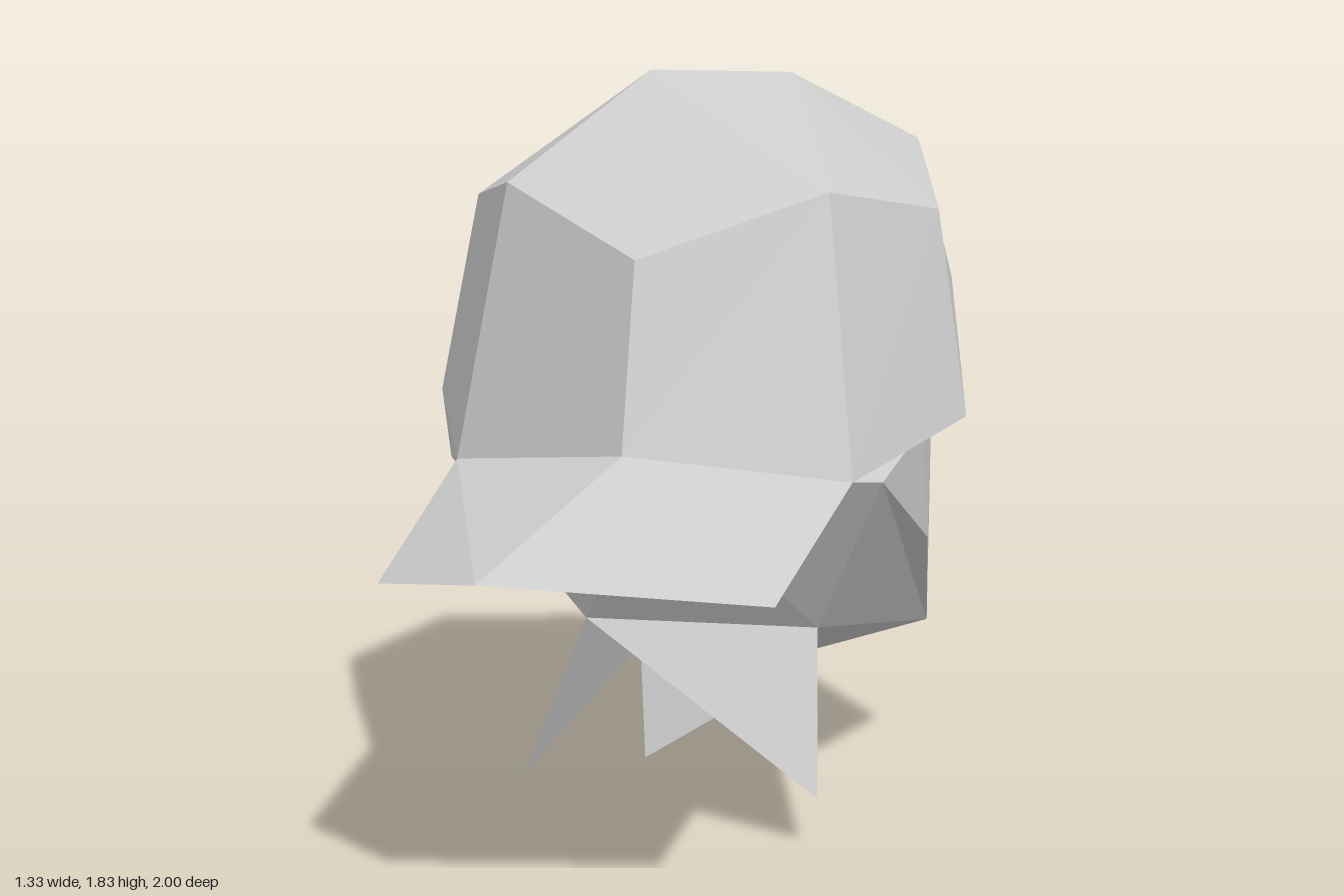
import * as THREE from 'three';

const grey = new THREE.MeshStandardMaterial({ color: 0xcccccc, flatShading: true, side: THREE.DoubleSide });
grey.name = 'plain grey';

// Mesh of flat facets; every polygon is fanned and turned to face away from the given centre
function facets(name, polygons, centre) {
  const c = new THREE.Vector3(...centre), positions = [];
  for (const polygon of polygons) {
    const p = polygon.map(v => new THREE.Vector3(...v));
    for (let i = 1; i < p.length - 1; i++) {
      const t = new THREE.Triangle(p[0], p[i], p[i + 1]);
      const n = t.getNormal(new THREE.Vector3());
      const out = t.getMidpoint(new THREE.Vector3()).sub(c);
      const order = n.dot(out) >= 0 ? [p[0], p[i], p[i + 1]] : [p[0], p[i + 1], p[i]];
      for (const v of order) positions.push(v.x, v.y, v.z);
    }
  }
  const geometry = new THREE.BufferGeometry();
  geometry.setAttribute('position', new THREE.Float32BufferAttribute(positions, 3));
  geometry.computeVertexNormals();
  const mesh = new THREE.Mesh(geometry, grey);
  mesh.name = name;
  return mesh;
}

// Closed ring of eight points from a half ring running front to back on the +x side
const mirror = ([x, y, z]) => [-x, y, z];
const ring = half => [...half, ...half.slice(1, -1).reverse().map(mirror)];

// Strip of quads between two rings
const band = (a, b) => a.map((v, i) => {
  const j = (i + 1) % a.length;
  return [v, b[i], b[j], a[j]];
});

export function createModel() {
  const model = new THREE.Group();
  model.name = 'cappedHead';

  // Cap: rim, upper ring and two crown points
  const rim = ring([[0, 1.01, 0.46], [0.48, 0.935, 0.24], [0.665, 1.03, -0.14], [0.49, 1.27, -0.81], [0, 1.30, -1]]);
  const upper = ring([[0, 1.44, 0.36], [0.39, 1.58, 0.12], [0.58, 1.515, -0.19], [0.43, 1.64, -0.65], [0, 1.685, -0.77]]);
  const crownR = [-0.15, 1.825, -0.25], crownL = [0.16, 1.815, -0.41];
  const [u0, u1, u2, u3, u4, u5, u6, u7] = upper;
  const crown = [
    [crownR, u7, u0], [crownR, u0, u1], [crownR, u1, crownL], [crownL, u1, u2],
    [crownL, u2, u3], [crownL, u3, u4], [crownR, crownL, u4], [crownR, u4, u5],
    [crownR, u5, u6], [crownR, u6, u7],
  ];
  const capCentre = [0, 1.3, -0.25];
  model.add(facets('cap', [...band(rim, upper), ...crown], capCentre));

  // Underside of the cap, running in to the top of the head
  const headTop = ring([[0, 0.92, 0.26], [0.53, 0.92, 0.15], [0.55, 0.985, -0.19], [0.44, 1.25, -0.83], [0, 1.27, -0.91]]);
  model.add(facets('capUnderside', band(rim, headTop), capCentre));

  // Crooked visor
  const tip = [-0.15, 0.83, 1], cornerR = [-0.47, 0.755, 0.76], cornerL = [0.45, 0.78, 0.81];
  model.add(facets('visor', [
    [rim[7], cornerR, tip], [rim[7], tip, rim[0]],
    [rim[0], tip, cornerL], [rim[0], cornerL, rim[1]],
  ], [0, 0, 0.4]));

  // Head: slanted face, jaw panels, bulging sides, back
  const chinL = [0.33, 0.51, -0.05], chinR = [-0.235, 0.51, 0.02];
  const throat = [0, 0.2, -0.79], nape = [0, 0.31, -0.975];
  const [brow, , , , backTop] = headTop;
  const head = [[brow, chinR, chinL], [chinL, chinR, throat]];
  for (const side of [1, -1]) {
    const s = v => (side > 0 ? v : mirror(v));
    const [temple, ear, rear] = headTop.slice(1, 4).map(s);
    const cheek = s([0.55, 0.70, -0.27]), jaw = s([0.44, 0.35, -0.81]);
    const chin = side > 0 ? chinL : chinR;
    head.push(
      [brow, chin, temple], [temple, chin, jaw], [temple, jaw, cheek],
      [temple, cheek, ear], [cheek, rear, ear], [cheek, jaw, rear],
      [chin, throat, jaw], [jaw, throat, nape],
      [rear, jaw, nape], [rear, nape, backTop],
    );
  }
  model.add(facets('head', head, [0, 0.72, -0.4]));

  // Strap across the back below the cap
  const strapTop = [[0.48, 1.23, -0.83], [0, 1.18, -0.935], [-0.49, 1.24, -0.84]];
  const strapLow = [[0.42, 1.09, -0.95], [0, 1.07, -0.94], [-0.47, 1.05, -0.87]];
  model.add(facets('strap', [0, 1].map(i =>
    [strapTop[i], strapLow[i], strapLow[i + 1], strapTop[i + 1]]), [0, 1.1, -0.4]));

  // Pointed flaps hanging under the chin
  const flapL = [0.37, 0.13, 0.1], flapR = [-0.37, 0.13, 0.1];
  const baseL = [0.17, 0.26, -0.6], baseR = [-0.26, 0.3, -0.45];
  model.add(facets('leftFlap', [[chinR, chinL, flapL], [chinL, flapL, baseL]], [0, 0.35, -0.3]));
  model.add(facets('rightFlap', [[chinR, flapR, baseR]], [0, 0.35, -0.3]));
  model.add(facets('lowerFlap', [[[-0.27, 0.3, -0.53], baseL, [-0.245, 0, -0.49]]], [0, 0.3, -0.9]));

  return model;
}
